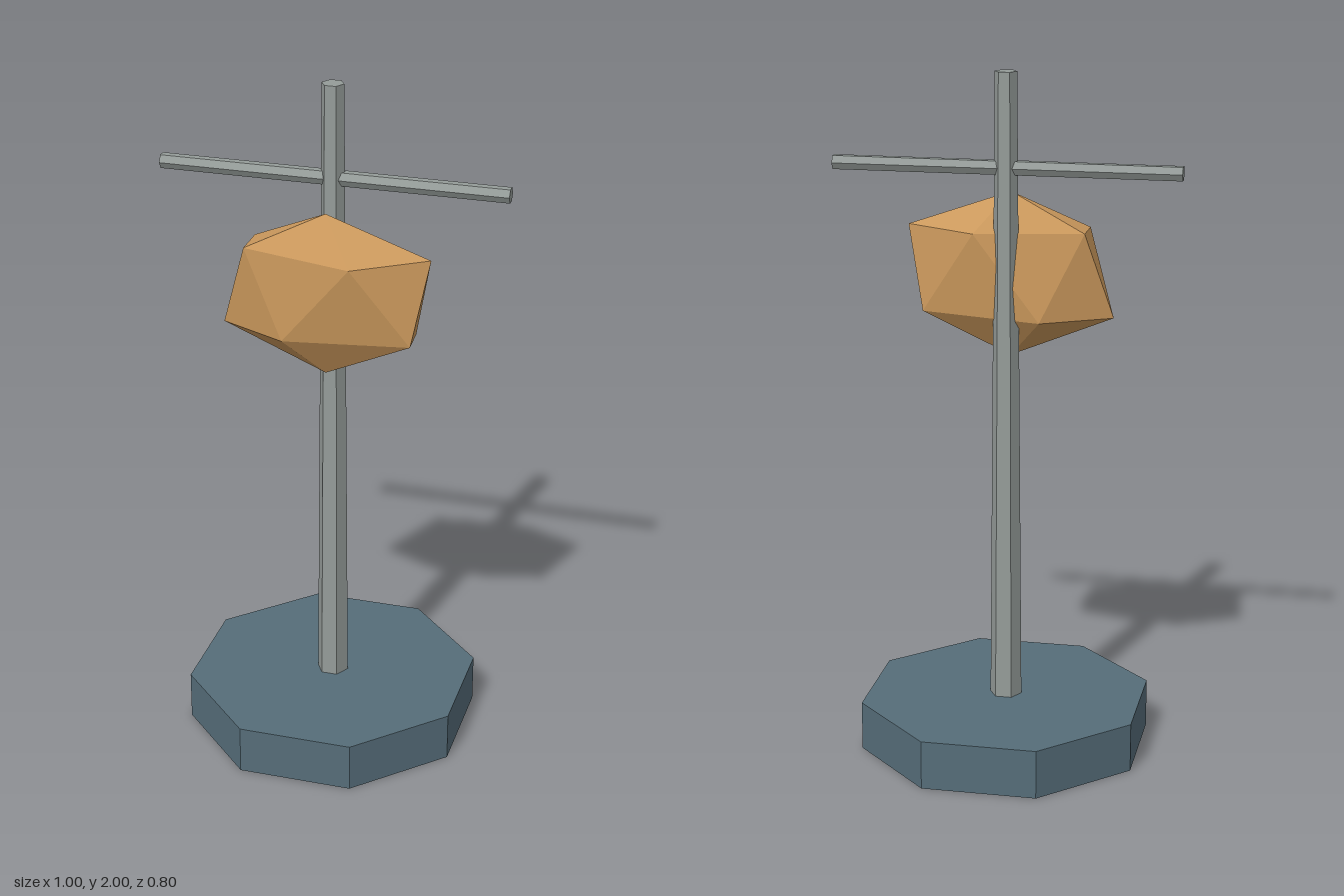
import * as THREE from 'three';

const mat = (name, color) => {
  const m = new THREE.MeshStandardMaterial({ color, flatShading: true });
  m.name = name;
  return m;
};

// Faceted twenty-sided lump from a top point, two rings of five and a bottom point
function lumpGeometry(top, upper, lower, bottom) {
  const pos = [];
  for (let i = 0; i < 5; i++) {
    const j = (i + 1) % 5;
    pos.push(...top, ...upper[j], ...upper[i]);
    pos.push(...upper[i], ...upper[j], ...lower[i]);
    pos.push(...lower[i], ...upper[j], ...lower[j]);
    pos.push(...bottom, ...lower[i], ...lower[j]);
  }
  const g = new THREE.BufferGeometry();
  g.setAttribute('position', new THREE.Float32BufferAttribute(pos, 3));
  g.computeVertexNormals();
  return g;
}

export function createModel() {
  const slate = mat('slate blue', 0x566d79);
  const steel = mat('grey steel', 0x959c99);
  const ochre = mat('ochre', 0xca985c);

  const model = new THREE.Group();
  model.name = 'stand';
  const add = (name, geometry, material) => {
    const mesh = new THREE.Mesh(geometry, material);
    mesh.name = name;
    model.add(mesh);
    return mesh;
  };

  // Octagonal foot with flat sides to the front and sides
  const baseR = 0.402 / Math.cos(Math.PI / 8);
  const base = add('base', new THREE.CylinderGeometry(baseR, baseR, 0.145, 8), slate);
  base.rotation.y = Math.PI / 8;
  base.position.y = 0.0725;

  // Tapered hexagonal pole
  const pole = add('pole', new THREE.CylinderGeometry(0.032, 0.047, 1.857, 6), steel);
  pole.rotation.y = Math.PI / 6;
  pole.position.y = 0.143 + 1.857 / 2;

  // Hexagonal crossbar
  const bar = add('crossbar', new THREE.CylinderGeometry(0.0225, 0.0225, 1, 6), steel);
  bar.rotation.z = Math.PI / 2;
  bar.position.y = 1.73;

  // Flattened faceted lump on the front of the pole
  const upper = [
    [0.3, 1.545, 0.072], [0.093, 1.53, 0.171], [-0.222, 1.545, 0.125],
    [-0.222, 1.545, 0.02], [0.093, 1.54, -0.018],
  ];
  const lower = [
    [0.256, 1.3, 0.12], [-0.105, 1.29, 0.156], [-0.3, 1.293, 0.072],
    [-0.1, 1.29, -0.026], [0.25, 1.3, 0.026],
  ];
  add('facetedLump', lumpGeometry([0, 1.65, 0.073], upper, lower, [0, 1.17, 0.073]), ochre);

  return model;
}
